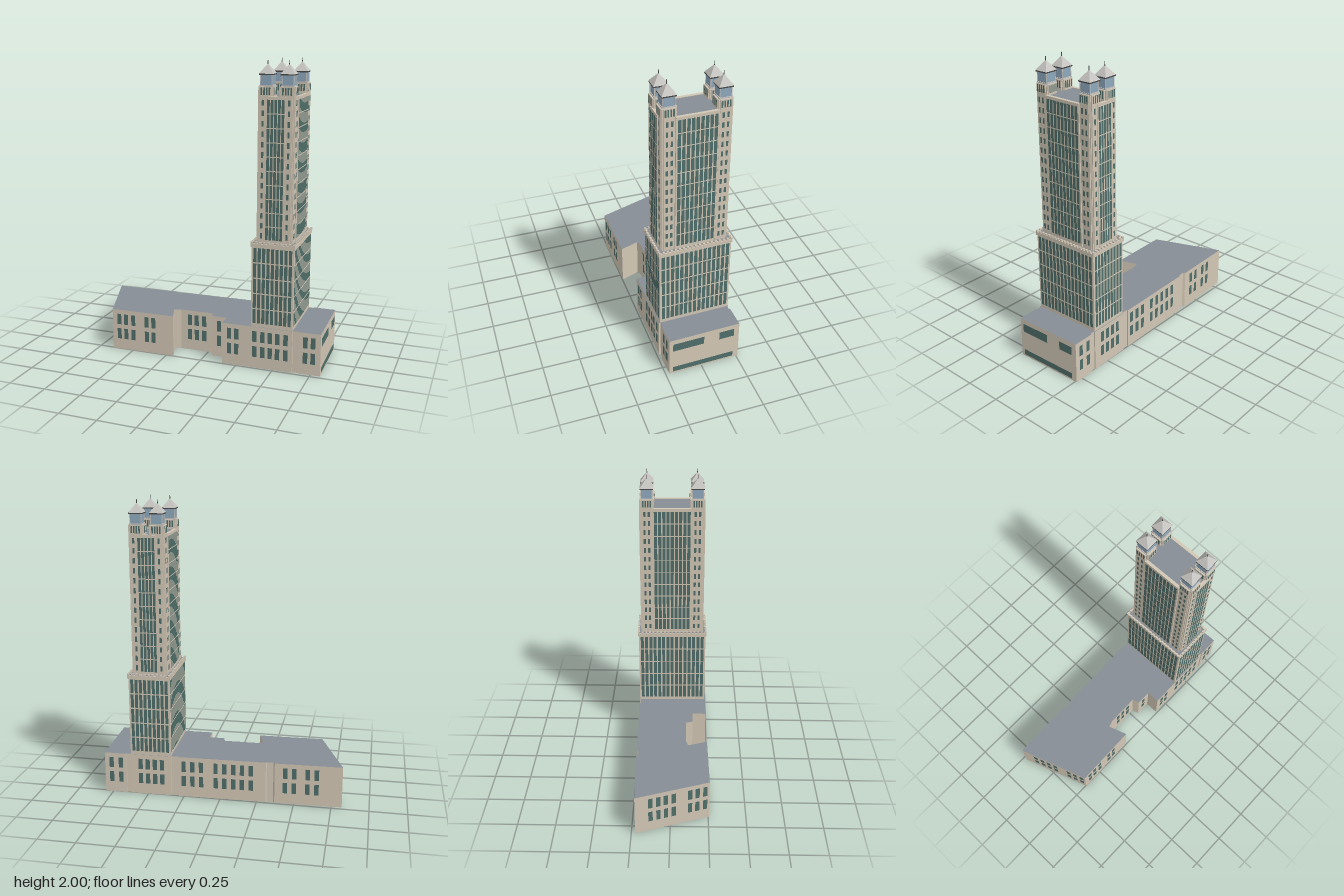
import * as THREE from 'three';
import { mergeGeometries } from 'three/addons/utils/BufferGeometryUtils.js';

const mat = (color, side = THREE.FrontSide) =>
  new THREE.MeshStandardMaterial({ color, side, flatShading: true, roughness: 0.9 });
const stone = mat(0xd2c7b5);
const wallStone = mat(0xd2c7b5, THREE.DoubleSide);
const glass = mat(0x4f6e6a);
const roofing = mat(0x868d95, THREE.DoubleSide);
const lanternBlue = mat(0x8ea9bd);
const capGrey = mat(0xc6c4c0);
const dark = mat(0x4a4a48);

// Upright rectangle facing the given angle, u along the wall, d out from the origin
function panel(angle, u, y, d, w, h) {
  return new THREE.PlaneGeometry(w, h).translate(u, y, d).rotateY(angle);
}
// Box given by its centre in plan and its bottom and top
function box(x, z, w, d, y0, y1) {
  return new THREE.BoxGeometry(w, y1 - y0, d).translate(x, (y0 + y1) / 2, z);
}
function add(group, name, geos, material) {
  const mesh = new THREE.Mesh(mergeGeometries(geos), material);
  mesh.name = name;
  group.add(mesh);
}

const BASE_H = 0.285;
// Footprint corners [x, z], each with the x positions of the windows on the wall that follows
const footprint = [
  [-0.82, -0.225, [-0.65, -0.59, -0.5, -0.44]],
  [-0.37, -0.238], [-0.36, -0.224], [-0.315, -0.226],
  [-0.31, -0.236, [-0.21, -0.15, -0.09, -0.03, 0.03, 0.13, 0.19, 0.25]],
  [0.285, -0.251], [0.285, -0.242], [0.335, -0.243],
  [0.336, -0.252, [0.4, 0.45, 0.5, 0.55]],
  [0.62, -0.258], [0.62, -0.25], [0.65, -0.25],
  [0.65, -0.259, [0.69, 0.755]],
  [0.802, -0.262], [0.815, 0.225, [0.765, 0.715]],
  [0.67, 0.229], [0.67, 0.222], [0.63, 0.223],
  [0.63, 0.234, [0.585, 0.53, 0.48, 0.43, 0.375, 0.25, 0.2]],
  [0.15, 0.24], [0.15, 0.145, [0.095]],
  [0.045, 0.145], [0.03, 0.097, [-0.03, -0.085, -0.135]],
  [-0.2, 0.1], [-0.245, 0.115],
  [-0.2, 0.245, [-0.345, -0.395, -0.495, -0.55, -0.6]],
  [-0.65, 0.255, [-0.785, -0.767, -0.75, -0.732, -0.695, -0.678, -0.66]],
];

function createBase() {
  const base = new THREE.Group();
  base.name = 'lowerBuilding';
  const walls = [], windows = [];
  footprint.forEach(([ax, az, xs = []], i) => {
    const [bx, bz] = footprint[(i + 1) % footprint.length];
    const len = Math.hypot(bx - ax, bz - az);
    const angle = Math.atan2(bz - az, ax - bx);
    const mx = (ax + bx) / 2, mz = (az + bz) / 2;
    const put = (u, y, d, w, h) => panel(angle, u, y, d, w, h).translate(mx, 0, mz);
    walls.push(put(0, BASE_H / 2, 0, len, BASE_H));
    for (const x of xs) {
      // the wall's own u axis runs from b towards a
      const u = (0.5 - (x - ax) / (bx - ax)) * len;
      for (const y of [0.113, 0.218]) windows.push(put(u, y, 0.002, 0.03, 0.075));
    }
    // Long strip windows on the end wall
    if (ax === 0.802) {
      windows.push(put(-0.112, 0.222, 0.002, 0.215, 0.06));
      windows.push(put(0.155, 0.222, 0.002, 0.105, 0.06));
      windows.push(put(-0.008, 0.033, 0.002, 0.425, 0.04));
    }
  });
  add(base, 'baseWalls', walls, wallStone);
  add(base, 'baseWindows', windows, glass);
  const outline = new THREE.Shape(footprint.map(([x, z]) => new THREE.Vector2(x, -z)));
  add(base, 'baseRoof', [new THREE.ShapeGeometry(outline).rotateX(-Math.PI / 2).translate(0, BASE_H, 0)], roofing);
  return base;
}

// Grid of windows on one side of the tower
function windowGrid(out, side, d, u0, u1, cols, y0, y1, rows, fillU, fillY) {
  const pu = (u1 - u0) / cols, py = (y1 - y0) / rows;
  for (let c = 0; c < cols; c++)
    for (let r = 0; r < rows; r++)
      out.push(panel(side * Math.PI / 2, u0 + (c + 0.5) * pu, y0 + (r + 0.5) * py, d + 0.002, pu * fillU, py * fillY));
}

function createTower() {
  const tower = new THREE.Group();
  tower.name = 'tower';
  tower.position.set(0.483, 0, -0.01);
  tower.rotation.y = 0.02;
  const windows = [], shaft = [], cornice = [];

  // Lower shaft
  const LW = 0.28, LD = 0.482;
  shaft.push(box(0, 0, LW, LD, BASE_H - 0.005, 0.83));
  for (let s = 0; s < 4; s++) {
    const [w, d, cols] = s % 2 ? [LD, LW / 2, 15] : [LW, LD / 2, 9];
    windowGrid(windows, s, d, -w / 2 + 0.008, w / 2 - 0.008, cols, 0.307, 0.823, 5, 0.7, 0.92);
  }

  // Cornice with a row of small blocks along its edge
  const CW = 0.292, CD = 0.496;
  cornice.push(box(0, 0, CW, CD, 0.825, 0.848));
  for (const e of [-1, 1]) {
    for (let i = 0; i < 11; i++)
      cornice.push(box((i / 10 - 0.5) * (CW - 0.014), e * (CD / 2 - 0.006), 0.014, 0.012, 0.848, 0.86));
    for (let i = 1; i < 18; i++)
      cornice.push(box(e * (CW / 2 - 0.006), (i / 18 - 0.5) * (CD - 0.014), 0.012, 0.014, 0.848, 0.86));
  }
  add(tower, 'cornice', cornice, stone);
  add(tower, 'cornicePaving', [box(0, 0, CW - 0.026, CD - 0.026, 0.846, 0.85)], roofing);

  // Upper shaft: core, projecting bays and notched corner piers
  const W = 0.236, D = 0.445, P = 0.1, N = 0.014, TOP = 1.78;
  const px = (W - P) / 2, pz = (D - P) / 2;
  shaft.push(box(0, 0, W - 0.016, D - 0.016, 0.84, TOP - 0.008));
  shaft.push(box(0, D / 2 - 0.006, 0.126, 0.02, 0.84, TOP), box(0, -D / 2 + 0.006, 0.126, 0.02, 0.84, TOP));
  shaft.push(box(W / 2 - 0.006, 0, 0.02, 0.268, 0.84, TOP), box(-W / 2 + 0.006, 0, 0.02, 0.268, 0.84, TOP));
  for (const sx of [-1, 1]) for (const sz of [-1, 1]) {
    shaft.push(box(sx * px, sz * pz, P, P - 2 * N, 0.84, 1.842));
    shaft.push(box(sx * px, sz * pz, P - 2 * N, P, 0.84, 1.842));
    shaft.push(box(sx * px, sz * pz, P - N, P - N, 0.84, 1.838));
    // Louvres round the head of each pier
    for (let s = 0; s < 4; s++) {
      const head = [];
      windowGrid(head, s, P / 2, -0.034, 0.034, 4, 1.79, 1.836, 1, 0.6, 1);
      head.forEach(g => windows.push(g.translate(sx * px, 0, sz * pz)));
    }
  }
  for (let s = 0; s < 4; s++) {
    const long = s % 2;
    const face = long ? W / 2 : D / 2;
    const half = long ? 0.128 : 0.058;
    windowGrid(windows, s, face + 0.004, -half, half, long ? 9 : 5, 0.87, 1.765, 10, 0.74, 0.93);
    for (const u of long ? [0.158, 0.188] : [0.083])
      for (const m of [-1, 1])
        windowGrid(windows, s, face, m * u - 0.008, m * u + 0.008, 1, 0.865, 1.775, 14, 0.9, 0.55);
  }
  add(tower, 'towerStonework', shaft, stone);
  add(tower, 'towerWindows', windows, glass);
  add(tower, 'towerRoof', [box(0, 0, W - 0.02, D - 0.02, TOP - 0.01, TOP - 0.004)], roofing);

  // Four corner lanterns with pyramid caps and spikes
  for (const sx of [-1, 1]) for (const sz of [-1, 1]) {
    const lantern = new THREE.Group();
    lantern.name = 'cornerLantern';
    lantern.position.set(sx * px, 0, sz * pz);
    add(lantern, 'lanternBody', [box(0, 0, 0.074, 0.074, 1.84, 1.912)], lanternBlue);
    const posts = [box(0, 0, 0.082, 0.082, 1.84, 1.85)];
    for (const a of [-1, 1]) for (const b of [-1, 1]) posts.push(box(a * 0.037, b * 0.037, 0.005, 0.005, 1.84, 1.912));
    add(lantern, 'lanternFrame', posts, capGrey);
    add(lantern, 'lanternEaves', [box(0, 0, 0.09, 0.09, 1.91, 1.918)], dark);
    add(lantern, 'lanternCap', [new THREE.ConeGeometry(0.091 * Math.SQRT1_2, 0.06, 4).rotateY(Math.PI / 4).translate(0, 1.948, 0)], capGrey);
    add(lantern, 'lanternSpike', [new THREE.CylinderGeometry(0.002, 0.004, 0.04, 6).translate(0, 1.98, 0)], dark);
    tower.add(lantern);
  }
  return tower;
}

export function createModel() {
  const model = new THREE.Group();
  model.name = 'highRiseBuilding';
  model.add(createBase(), createTower());
  return model;
}
